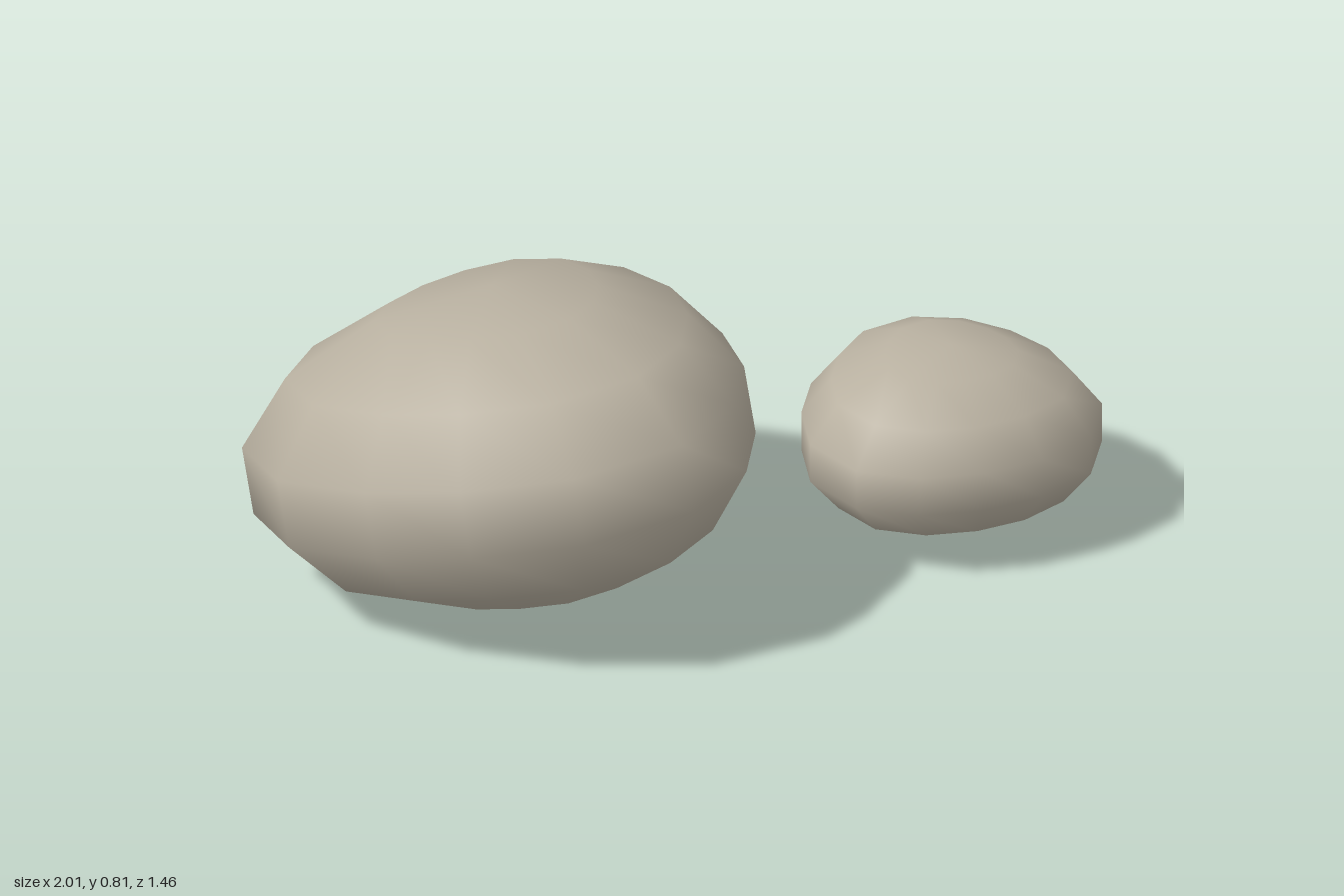
import * as THREE from 'three';
import { mergeVertices } from 'three/addons/utils/BufferGeometryUtils.js';

// Half of the egg-shaped plan outline (x, z), from the wide end (-x) to the narrow end (+x)
const HALF = [[-0.358, 0.075], [-0.31, 0.235], [-0.178, 0.35], [-0.02, 0.364],
  [0.13, 0.312], [0.26, 0.22], [0.357, 0.085]];
const OUTLINE = [...HALF, ...HALF.map(([x, z]) => [x, -z]).reverse()];

// Pebble: a 14-sided sphere of seven bands without the lowest, its rings reshaped to the outline
function pebbleGeometry() {
  const sides = OUTLINE.length, bands = 7;
  let geo = new THREE.SphereGeometry(1, sides, bands - 1, 0, Math.PI * 2, 0, Math.PI * (bands - 1) / bands);
  const pos = geo.attributes.position;
  const widest = Math.sin(3 * Math.PI / bands);
  for (let i = 0; i < pos.count; i++) {
    const [x, z] = OUTLINE[(i % (sides + 1)) % sides];
    const y = pos.getY(i);
    const r = Math.sqrt(Math.max(0, 1 - y * y)) / widest;
    pos.setXYZ(i, x * r, y * 0.23, z * r);
  }
  geo.deleteAttribute('uv');
  geo.deleteAttribute('normal');
  geo = mergeVertices(geo, 1e-4);
  geo.computeVertexNormals();
  return geo;
}

export function createModel() {
  const group = new THREE.Group();
  group.name = 'rocks';
  const stone = new THREE.MeshStandardMaterial({ color: 0xb8b0a0, side: THREE.DoubleSide });
  stone.name = 'stone';
  const geo = pebbleGeometry();

  const addRock = (name, position, scale, yaw, up) => {
    const rock = new THREE.Mesh(geo, stone);
    rock.name = name;
    rock.position.set(...position);
    rock.scale.setScalar(scale);
    const yAxis = new THREE.Vector3(0, 1, 0);
    const tilt = new THREE.Quaternion().setFromUnitVectors(yAxis, new THREE.Vector3(...up).normalize());
    rock.quaternion.copy(tilt).multiply(new THREE.Quaternion().setFromAxisAngle(yAxis, yaw));
    group.add(rock);
  };

  // Large rock leaning over, small rock lying level
  addRock('largeRock', [-0.35, 0.405, 0.107], 1.695, THREE.MathUtils.degToRad(76), [-0.19, 1, -0.13]);
  addRock('smallRock', [0.643, 0.255, -0.365], 1, 0, [0, 1, 0]);
  return group;
}
